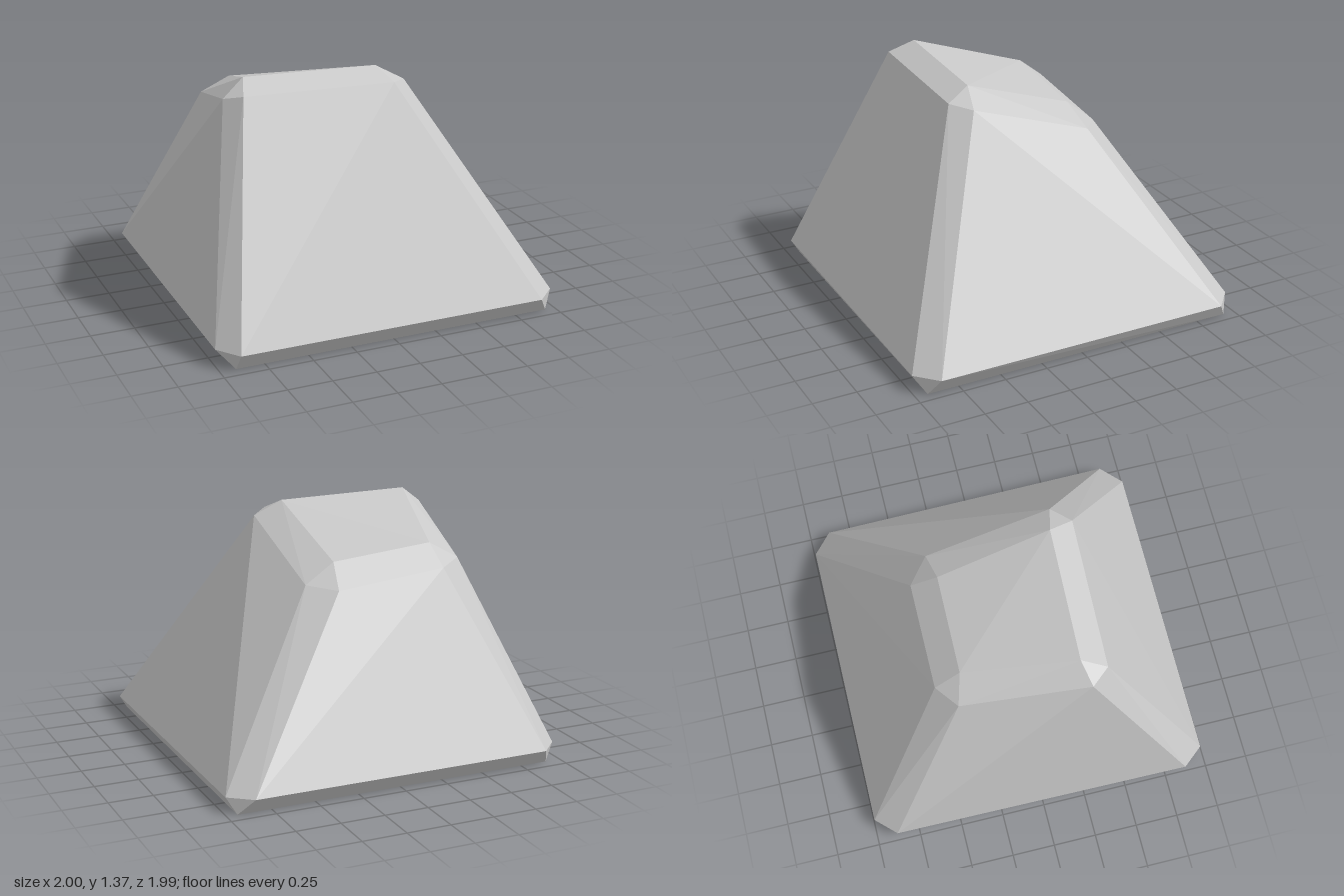
import * as THREE from 'three';
import { ConvexGeometry } from 'three/addons/geometries/ConvexGeometry.js';

// Each corner of the block is cut off into three points:
// one on the cap (top or base), one on the side face, one on the front or back face.
const corners = [
  // base corners
  [[-0.91, 0, 0.93], [-1, 0.1, 0.865], [-0.9, 0.095, 0.985]],
  [[0.94, 0, 0.93], [1, 0.095, 0.875], [0.88, 0.095, 0.99]],
  [[-0.91, 0, -0.93], [-0.98, 0.09, -0.88], [-0.87, 0.09, -0.995]],
  [[0.94, 0, -0.93], [0.985, 0.085, -0.88], [0.86, 0.09, -0.99]],
  // top corners
  [[-0.6, 1.365, 0.27], [-0.73, 1.27, 0.31], [-0.65, 1.3, 0.41]],
  [[0.165, 1.35, 0.3], [0.32, 1.265, 0.34], [0.215, 1.285, 0.44]],
  [[-0.455, 1.18, -0.355], [-0.61, 1.09, -0.4], [-0.47, 1.065, -0.5]],
  [[0.13, 1.125, -0.345], [0.31, 1.02, -0.375], [0.165, 1.0, -0.495]],
];

export function createModel() {
  const group = new THREE.Group();
  group.name = 'rock';
  const stone = new THREE.MeshStandardMaterial({ color: 0xc8c8c8 });
  stone.name = 'stone grey';

  // Bevelled, lopsided block with flat faces
  const points = corners.flat().map((p) => new THREE.Vector3(...p));
  const block = new THREE.Mesh(new ConvexGeometry(points), stone);
  block.name = 'bevelledBlock';
  group.add(block);
  return group;
}
